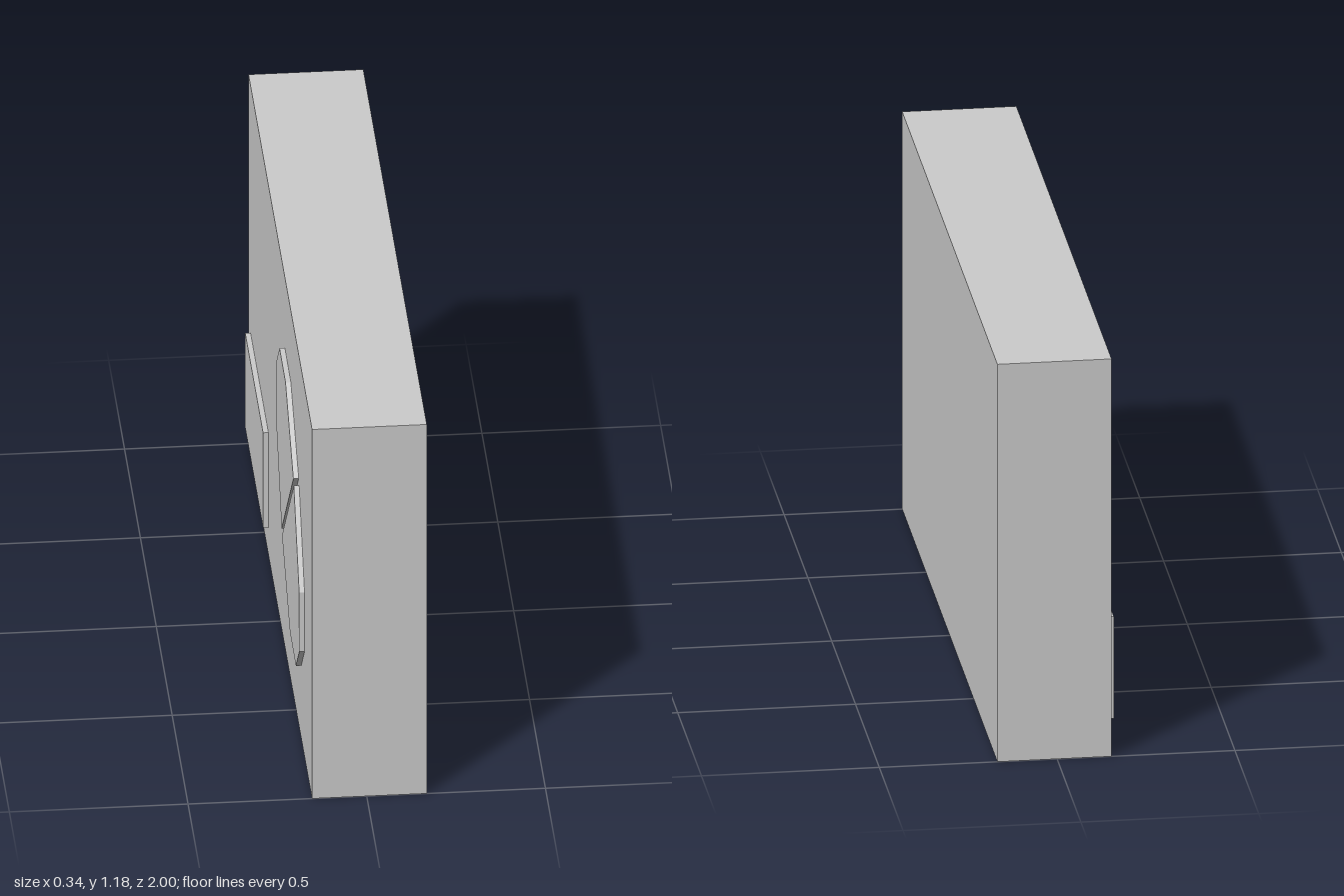
import * as THREE from 'three';

const FACE = -0.153;   // side of the box that carries the reliefs
const RELIEF = 0.015;  // how far they stand out

export function createModel() {
  const model = new THREE.Group();
  const material = new THREE.MeshStandardMaterial({ color: 0xcccccc, flatShading: true });

  const add = (name, geometry) => {
    const mesh = new THREE.Mesh(geometry, material);
    mesh.name = name;
    model.add(mesh);
    return mesh;
  };

  // Main box
  add('box', new THREE.BoxGeometry(0.321, 1.185, 2)).position.set(0.0075, 0.5925, 0);

  // Rectangular label plate, low at the back end
  add('labelPlate', new THREE.BoxGeometry(RELIEF, 0.304, 0.562))
    .position.set(FACE - RELIEF / 2, 0.24, -0.655);

  // Tablet emblem: two tapered halves on a diagonal, with a narrow gap between them
  const half = new THREE.Shape([
    [0.01, -0.262], [0.304, -0.206], [0.439, -0.075],
    [0.439, 0.075], [0.304, 0.206], [0.01, 0.262],
  ].map(([u, v]) => new THREE.Vector2(u, v)));

  [['lowerTabletHalf', -Math.PI / 4], ['upperTabletHalf', Math.PI * 3 / 4]].forEach(([name, angle]) => {
    const geometry = new THREE.ExtrudeGeometry(half, { depth: RELIEF, bevelEnabled: false });
    geometry.rotateZ(angle).rotateY(-Math.PI / 2);
    add(name, geometry).position.set(FACE, 0.596, 0.402);
  });

  return model;
}
